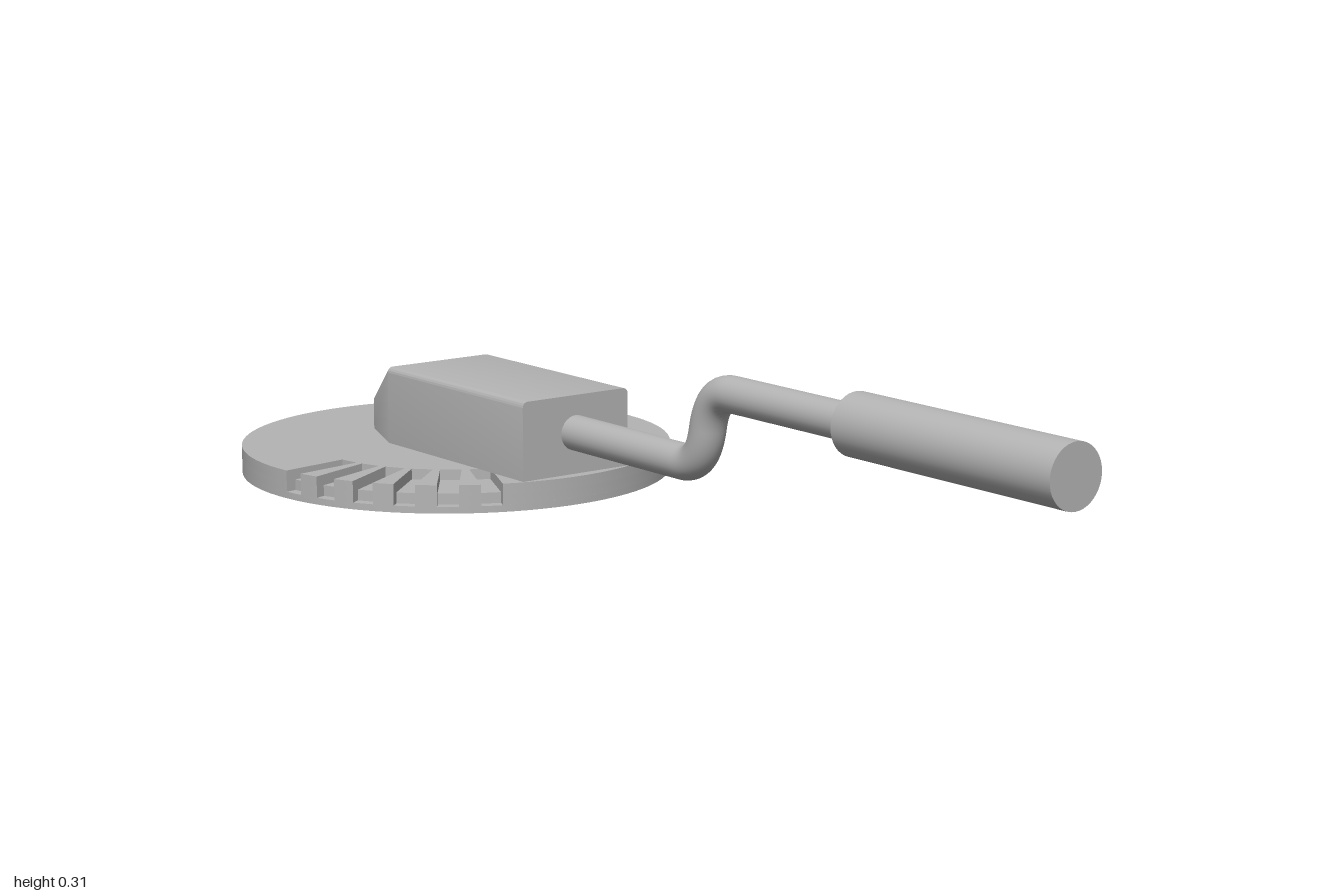
import * as THREE from 'three';
import { toCreasedNormals } from 'three/addons/utils/BufferGeometryUtils.js';

const grey = new THREE.MeshStandardMaterial({ color: 0xb4b4b4 });
grey.name = 'plain grey';

const R = 0.39, BASE_Z = -0.61, SLOT_HALF = 0.019;
const slotAngles = [0, 1, 2, 3, 4, 5].map(i => (25.3 + 11.2 * i) * Math.PI / 180);

function mesh(name, geometry) {
  const m = new THREE.Mesh(geometry, grey);
  m.name = name;
  return m;
}

// One layer of the round base; each slot is cut in from the rim to radius `inner`
function baseLayer(y0, y1, inner) {
  const pts = [];
  // angle is measured from the front (+z) towards -x; shape y becomes -z
  const add = (along, across, a) => pts.push(new THREE.Vector2(
    -Math.sin(a) * along - Math.cos(a) * across,
    -Math.cos(a) * along + Math.sin(a) * across));
  const arc = (a0, a1) => {
    const n = Math.max(2, Math.ceil((a1 - a0) / 0.07));
    for (let i = 0; i < n; i++) add(R, 0, a0 + (a1 - a0) * i / n);
  };
  if (inner < R) {
    const half = Math.asin(SLOT_HALF / R), mouth = Math.cos(half) * R;
    slotAngles.forEach((a, i) => {
      add(mouth, -SLOT_HALF, a);
      add(inner, -SLOT_HALF, a);
      add(inner, SLOT_HALF, a);
      const next = i < 5 ? slotAngles[i + 1] : slotAngles[0] + Math.PI * 2;
      arc(a + half, next - half);
    });
  } else arc(0, Math.PI * 2);
  const geo = new THREE.ExtrudeGeometry(new THREE.Shape(pts), { depth: y1 - y0, bevelEnabled: false });
  geo.rotateX(-Math.PI / 2).translate(0, y0, BASE_Z);
  return toCreasedNormals(geo, 0.4);
}

// Housing lofted from cross-sections with softly rounded top edges
function housingGeometry() {
  const bottom = 0.05, r = 0.01, steps = 4;
  const section = ([z, w, top]) => {
    const p = [[w, bottom, z]];
    for (const side of [1, -1]) {
      for (let i = 0; i <= steps; i++) {
        const t = (side > 0 ? i : steps - i) / steps * Math.PI / 2;
        p.push([side * (w - r + r * Math.cos(t)), top - r + r * Math.sin(t), z]);
      }
    }
    p.push([-w, bottom, z]);
    return p;
  };
  const rings = [[-0.24, 0.113, 0.19], [-0.663, 0.113, 0.19], [-0.793, 0.06, 0.113]].map(section);
  const n = rings[0].length, pos = [];
  const tri = (a, b, c) => pos.push(...a, ...b, ...c);
  for (let k = 0; k < 2; k++) {
    for (let i = 0; i < n; i++) {
      const j = (i + 1) % n, f = rings[k], b = rings[k + 1];
      tri(f[i], b[i], b[j]);
      tri(f[i], b[j], f[j]);
    }
  }
  for (let i = 1; i < n - 1; i++) {
    tri(rings[0][0], rings[0][i], rings[0][i + 1]);
    tri(rings[2][0], rings[2][i + 1], rings[2][i]);
  }
  const geo = new THREE.BufferGeometry();
  geo.setAttribute('position', new THREE.Float32BufferAttribute(pos, 3));
  return toCreasedNormals(geo, 0.45);
}

// Cranked rod: straight, S-bend, straight
function rodGeometry() {
  const v = (y, z) => new THREE.Vector3(0, y, z);
  const path = new THREE.CurvePath();
  path.add(new THREE.LineCurve3(v(0.123, -0.3), v(0.123, 0.065)));
  path.add(new THREE.QuadraticBezierCurve3(v(0.123, 0.065), v(0.123, 0.118), v(0.19, 0.131)));
  path.add(new THREE.QuadraticBezierCurve3(v(0.19, 0.131), v(0.257, 0.144), v(0.257, 0.197)));
  path.add(new THREE.LineCurve3(v(0.257, 0.197), v(0.257, 0.55)));
  return new THREE.TubeGeometry(path, 100, 0.0313, 28, false);
}

export function createModel() {
  const model = new THREE.Group();
  model.name = 'crankLever';

  // Round base with stepped radial slots
  const base = new THREE.Group();
  base.name = 'base';
  base.add(mesh('baseFloor', baseLayer(0, 0.012, R)));
  base.add(mesh('baseStep', baseLayer(0.012, 0.031, 0.37)));
  base.add(mesh('baseTop', baseLayer(0.031, 0.05, 0.26)));
  model.add(base);

  model.add(mesh('housing', housingGeometry()));
  model.add(mesh('rod', rodGeometry()));

  // Handle grip
  const grip = mesh('handle', new THREE.CylinderGeometry(0.053, 0.053, 0.493, 40));
  grip.rotation.x = Math.PI / 2;
  grip.position.set(0, 0.257, 0.7535);
  model.add(grip);

  return model;
}
